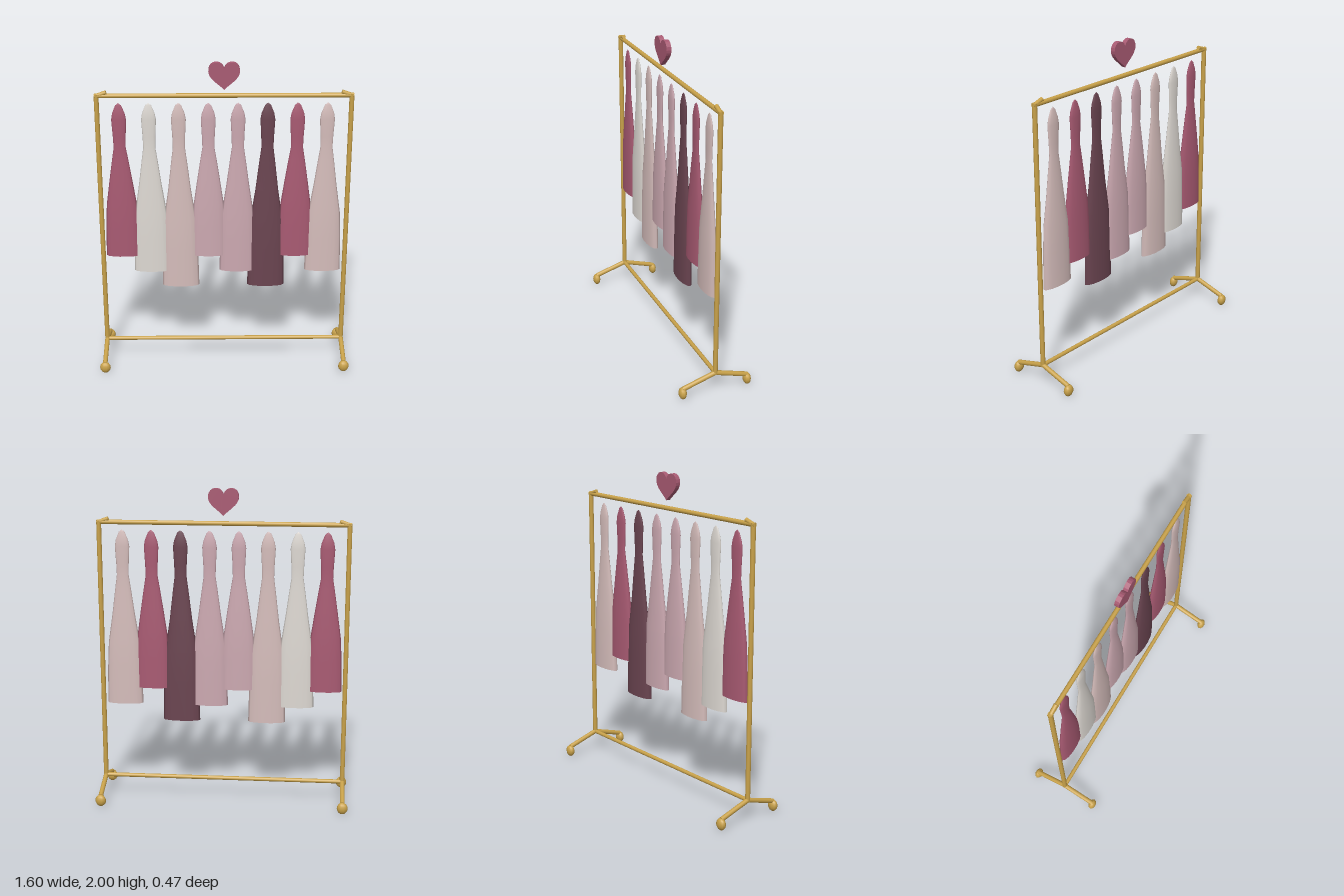
import * as THREE from 'three';

const mat = (color) => new THREE.MeshStandardMaterial({ color });
const gold = mat(0xc9a24a);
const rose = mat(0xa85a72), ivory = mat(0xddd8d2), blush = mat(0xd4bcba);
const pink = mat(0xcba8b0), plum = mat(0x6a4450);

// Straight tube between two points
function rod(name, a, b, r) {
  const from = new THREE.Vector3(...a), to = new THREE.Vector3(...b);
  const dir = to.clone().sub(from);
  const mesh = new THREE.Mesh(new THREE.CylinderGeometry(r, r, dir.length(), 10), gold);
  mesh.position.copy(from).add(to).multiplyScalar(0.5);
  mesh.quaternion.setFromUnitVectors(new THREE.Vector3(0, 1, 0), dir.normalize());
  mesh.name = name;
  return mesh;
}

// Flattened lathe gown: pointed top, bodice, waist, flared skirt, closed hem
function dress(x, hem, hemRadius, material) {
  const group = new THREE.Group();
  const top = 1.745, waist = 1.46, skirt = waist - hem;
  const points = [
    [hemRadius, hem],
    [hemRadius * 0.95, waist - skirt * 0.72],
    [hemRadius * 0.87, waist - skirt * 0.52],
    [0.071, waist - skirt * 0.3],
    [0.05, waist - skirt * 0.11],
    [0.037, waist],
    [0.039, 1.53],
    [0.045, 1.64],
    [0.038, 1.68],
    [0.018, 1.73],
    [0, top],
  ].map(([r, y]) => new THREE.Vector2(r, y));
  const body = new THREE.Mesh(new THREE.LatheGeometry(points, 14, Math.PI / 2), material);
  body.name = 'dressBody';
  const base = new THREE.Mesh(new THREE.CircleGeometry(hemRadius, 14), material);
  base.rotation.x = Math.PI / 2;
  base.position.y = hem;
  base.name = 'dressHem';
  group.add(body, base);
  group.scale.z = 0.29;
  group.position.x = x;
  group.name = 'dress';
  return group;
}

// Extruded heart above the rail
function heart() {
  const s = new THREE.Shape();
  s.moveTo(0, 1.835);
  s.bezierCurveTo(0.03, 1.87, 0.094, 1.9, 0.094, 1.95);
  s.bezierCurveTo(0.094, 2.01, 0.02, 2.02, 0, 1.967);
  s.bezierCurveTo(-0.02, 2.02, -0.094, 2.01, -0.094, 1.95);
  s.bezierCurveTo(-0.094, 1.9, -0.03, 1.87, 0, 1.835);
  const geo = new THREE.ExtrudeGeometry(s, { depth: 0.03, bevelEnabled: false, curveSegments: 8 });
  const mesh = new THREE.Mesh(geo, rose);
  mesh.position.z = 0.005;
  mesh.name = 'heart';
  return mesh;
}

export function createModel() {
  const model = new THREE.Group();
  model.name = 'dressRack';
  const X = 0.765;

  // Rails
  model.add(rod('topRail', [-X - 0.012, 1.79, 0], [X + 0.012, 1.79, 0], 0.014));
  model.add(rod('bottomRail', [-X, 0.13, 0], [X, 0.13, 0], 0.013));

  // End frames: post, corner stub, splayed feet and casters
  for (const side of [-1, 1]) {
    const x = side * X;
    model.add(rod('post', [x, 0.12, 0], [x, 1.8, 0], 0.015));
    model.add(rod('cornerStub', [x, 1.79, 0], [side * 0.705, 1.811, 0], 0.013));
    for (const front of [-1, 1]) {
      model.add(rod('foot', [x, 0.13, 0], [x, 0.066, front * 0.212], 0.015));
      const caster = new THREE.Mesh(new THREE.SphereGeometry(0.038, 10, 8), gold);
      caster.scale.set(0.9, 1, 0.64);
      caster.position.set(x, 0.038, front * 0.213);
      caster.name = 'caster';
      model.add(caster);
    }
  }

  // Row of dresses in three lengths
  const lengths = [[0.737, 0.108], [0.63, 0.114], [0.525, 0.117]];
  const row = [[rose, 0], [ivory, 1], [blush, 2], [pink, 0], [pink, 1], [plum, 2], [rose, 0], [blush, 1]];
  row.forEach(([material, size], i) => {
    model.add(dress(-0.636 + i * 0.18, ...lengths[size], material));
  });

  model.add(heart());
  return model;
}
